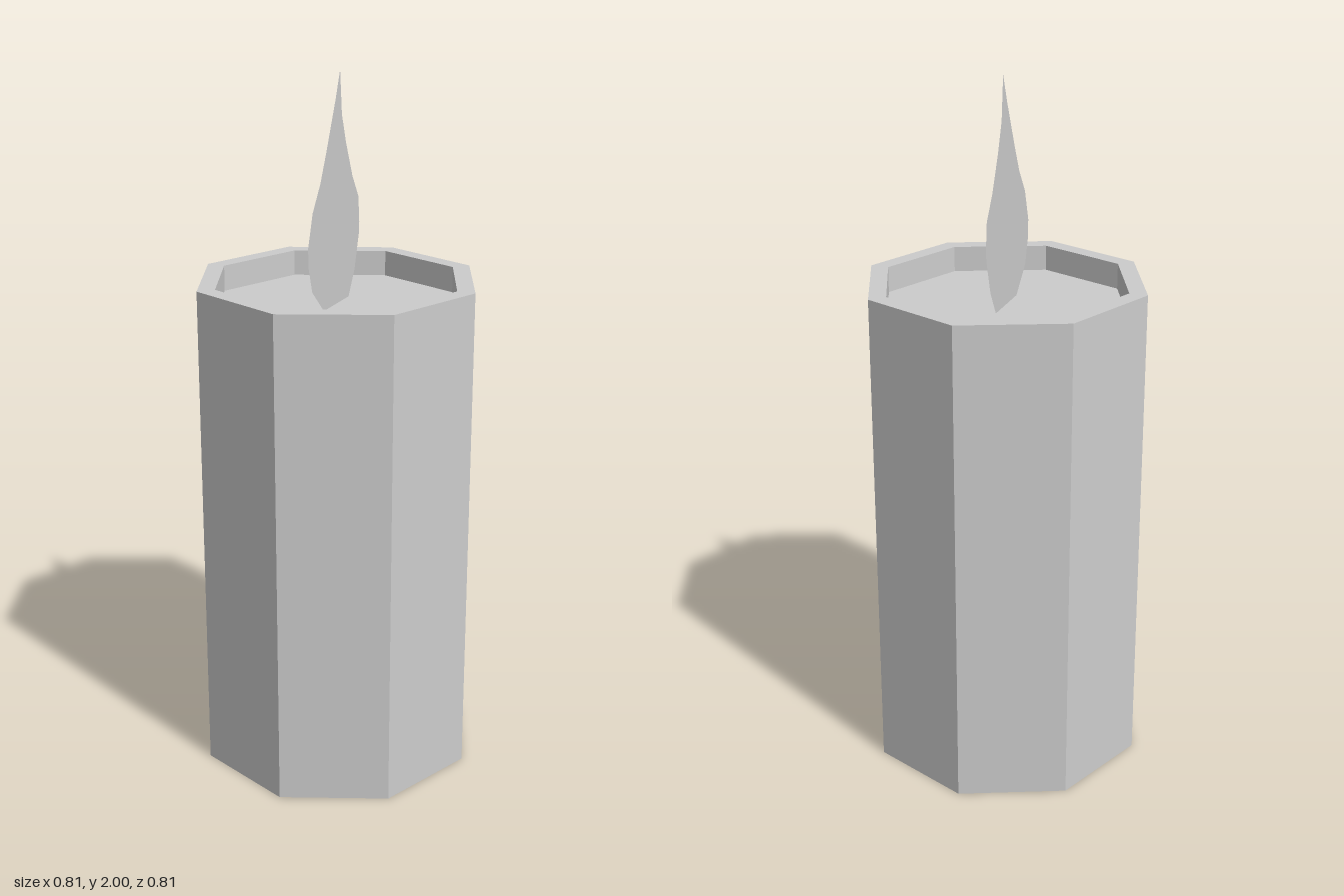
import * as THREE from 'three';

const grey = new THREE.MeshStandardMaterial({ name: 'paleGrey', color: 0xcccccc, side: THREE.DoubleSide, flatShading: true });

export function createModel() {
  const group = new THREE.Group();
  group.name = 'candle';

  // Eight-sided wax body with a shallow recess in the top
  const profile = [[0, 0], [0.406, 0], [0.406, 1.432], [0.354, 1.432], [0.354, 1.358], [0, 1.358]]
    .map(([r, y]) => new THREE.Vector2(r, y));
  const bodyGeometry = new THREE.LatheGeometry(profile, 8).toNonIndexed();
  bodyGeometry.computeVertexNormals();
  const body = new THREE.Mesh(bodyGeometry, grey);
  body.name = 'waxBody';
  group.add(body);

  // Flat flame standing in the recess, outlined as (z, y)
  const outline = [
    [0.09, 1.36], [-0.08, 1.36], [-0.122, 1.43], [-0.153, 1.53], [-0.155, 1.56], [-0.148, 1.635],
    [-0.105, 1.7], [-0.06, 1.8], [-0.032, 1.88], [-0.02, 2], [0.01, 1.925], [0.07, 1.795],
    [0.11, 1.715], [0.16, 1.645], [0.19, 1.555], [0.187, 1.5], [0.165, 1.43],
  ].map(([z, y]) => new THREE.Vector2(-z, y));
  const flameGeometry = new THREE.ShapeGeometry(new THREE.Shape(outline));
  flameGeometry.rotateY(Math.PI / 2);
  const flame = new THREE.Mesh(flameGeometry, grey);
  flame.name = 'flame';
  group.add(flame);

  return group;
}
